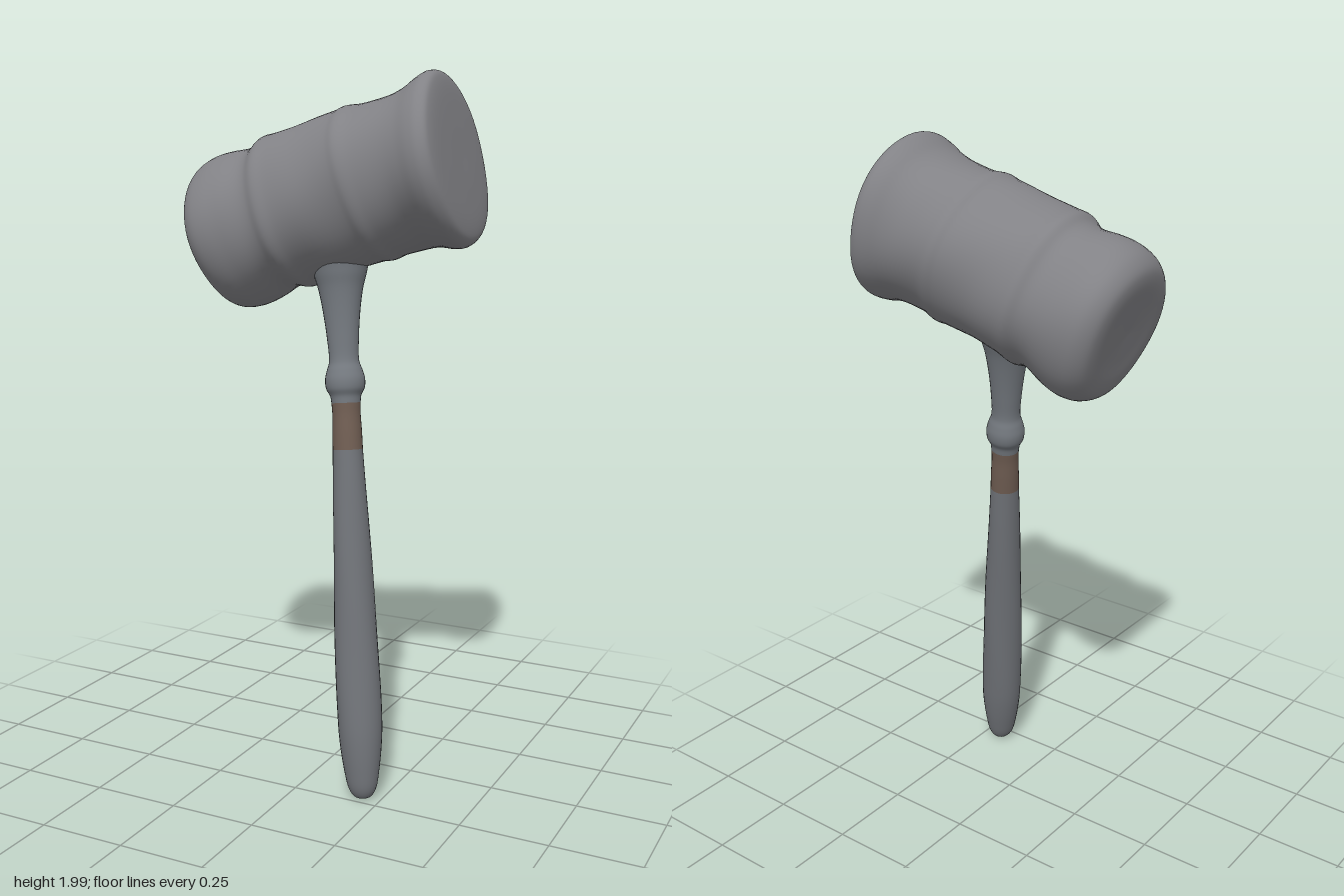
import * as THREE from 'three';
import { mergeVertices } from 'three/addons/utils/BufferGeometryUtils.js';

const UP = new THREE.Vector3(0, 1, 0);

// Smooth turned solid from [radius, height] points; warp moves each vertex
function turned(name, color, profile, sides, warp) {
  const curve = new THREE.CatmullRomCurve3(
    profile.map(([r, h]) => new THREE.Vector3(r, h, 0)), false, 'centripetal');
  const points = curve.getPoints(profile.length * 5)
    .map((p) => new THREE.Vector2(Math.max(p.x, 0), p.y));
  let geo = new THREE.LatheGeometry(points, sides);
  geo.deleteAttribute('uv');
  geo.deleteAttribute('normal');
  const pos = geo.attributes.position;
  const v = new THREE.Vector3();
  for (let i = 0; i < pos.count; i++) {
    v.fromBufferAttribute(pos, i);
    warp(v);
    pos.setXYZ(i, v.x, v.y, v.z);
  }
  geo = mergeVertices(geo, 1e-5);
  geo.computeVertexNormals();
  const mesh = new THREE.Mesh(geo, new THREE.MeshStandardMaterial({ color }));
  mesh.name = name;
  return mesh;
}

// Worn, uneven surface of the head, with a slanted striking face
function headWarp(v) {
  const a = Math.atan2(v.z, v.x);
  const k = 1 + 0.010 * Math.sin(3 * a + 9 * v.y) + 0.008 * Math.sin(5 * a - 17 * v.y)
    + 0.005 * Math.sin(2 * a + 38 * v.y);
  v.x *= k;
  v.z *= k;
  v.y -= 0.09 * v.x * THREE.MathUtils.smoothstep(v.y, 0.1, 0.35);
  // middle of the barrel sits slightly high (local -x is up)
  v.x -= 0.010 * (1 - THREE.MathUtils.smoothstep(Math.abs(v.y), 0.1, 0.36));
}

// Slight irregularity of the handle
function handleWarp(v) {
  const a = Math.atan2(v.z, v.x);
  const k = 1 + 0.02 * Math.sin(2 * a + 6 * v.y) + 0.012 * Math.sin(3 * a - 14 * v.y);
  v.x *= k;
  v.z *= k;
}

export function createModel() {
  const model = new THREE.Group();
  model.name = 'mallet';

  // Head: barrel with a flared rim at each end
  const head = turned('head', 0x828286, [
    [0, -0.385], [0.08, -0.387], [0.155, -0.388], [0.188, -0.378], [0.212, -0.350],
    [0.221, -0.310], [0.217, -0.255], [0.207, -0.195], [0.209, -0.170], [0.220, -0.140],
    [0.216, -0.100], [0.214, -0.020], [0.216, 0.090], [0.221, 0.120], [0.214, 0.160],
    [0.212, 0.240], [0.220, 0.285], [0.234, 0.325], [0.237, 0.352], [0.226, 0.374],
    [0.200, 0.383], [0.10, 0.388], [0, 0.388],
  ], 56, headWarp);
  head.position.set(0, 1.655, 0);
  head.quaternion.setFromUnitVectors(UP, new THREE.Vector3(0.95, 0.309, -0.05).normalize());
  model.add(head);

  // Handle: leaning axis shared by grip, worn band and collared neck
  const handle = new THREE.Group();
  handle.name = 'handle';
  const foot = new THREE.Vector3(0.2, 0.005, 0.22);
  const top = new THREE.Vector3(0.037, 1.46, 0.04);
  handle.position.copy(foot);
  handle.quaternion.setFromUnitVectors(UP, top.sub(foot).normalize());

  handle.add(turned('grip', 0x707378, [
    [0, 0], [0.022, 0.004], [0.038, 0.025], [0.050, 0.08], [0.060, 0.17], [0.062, 0.26],
    [0.059, 0.45], [0.055, 0.62], [0.049, 0.82], [0.043, 0.98],
  ], 28, handleWarp));
  handle.add(turned('wornBand', 0x6f5d52, [
    [0.043, 0.98], [0.042, 1.03], [0.040, 1.08], [0.041, 1.11],
  ], 28, handleWarp));
  handle.add(turned('collarAndNeck', 0x74797f, [
    [0.041, 1.11], [0.044, 1.13], [0.054, 1.15], [0.056, 1.175], [0.050, 1.20],
    [0.042, 1.225], [0.044, 1.29], [0.052, 1.37], [0.062, 1.43], [0.074, 1.475], [0.078, 1.52],
    [0, 1.53],
  ], 28, handleWarp));
  model.add(handle);

  return model;
}
